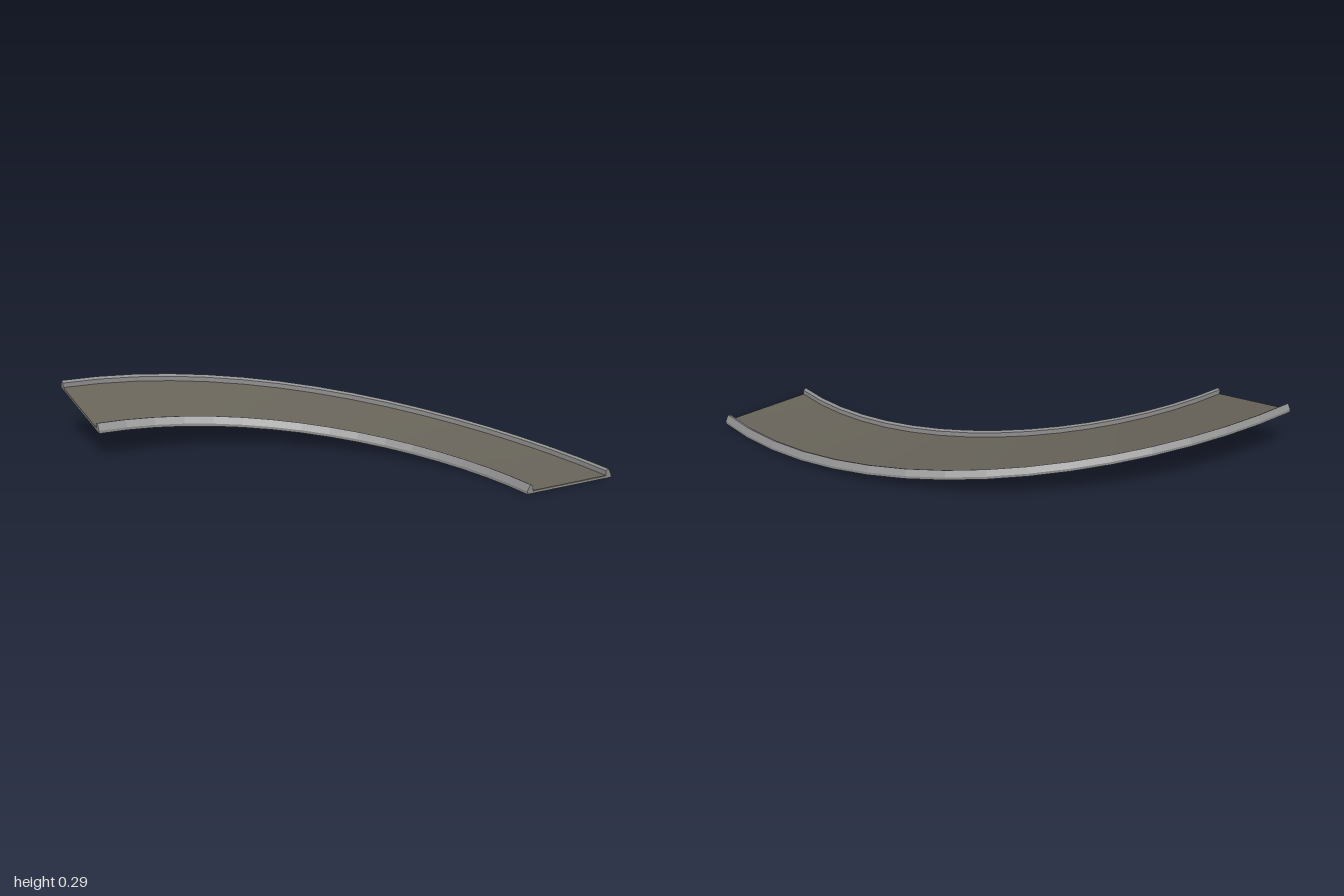
import * as THREE from 'three';

const INNER = 1.5, OUTER = 2, SEGMENTS = 16;

// Point on the ramp: r from the turning centre, y above the underside, t along the quarter turn
function rampPoint([r, y], t) {
  const a = t * Math.PI / 2;
  const bank = THREE.MathUtils.mapLinear(r, INNER, OUTER, 0.13, 0.25);
  return [-1 + r * Math.cos(a), y + bank * Math.sin(a) ** 2, 1 - r * Math.sin(a)];
}

// Sweep a convex counter-clockwise [r, y] profile round the turn and cap both ends
function sweep(profile) {
  const pos = [], n = profile.length;
  const tri = (a, b, c) => pos.push(...a, ...b, ...c);
  for (let s = 0; s < SEGMENTS; s++) {
    const t0 = s / SEGMENTS, t1 = (s + 1) / SEGMENTS;
    for (let i = 0; i < n; i++) {
      const p = profile[i], q = profile[(i + 1) % n];
      const a = rampPoint(p, t0), b = rampPoint(q, t0);
      const c = rampPoint(q, t1), d = rampPoint(p, t1);
      tri(a, d, c);
      tri(a, c, b);
    }
  }
  for (let i = 1; i < n - 1; i++) {
    const f = [profile[0], profile[i], profile[i + 1]];
    tri(...f.map(p => rampPoint(p, 0)));
    tri(...f.map(p => rampPoint(p, 1)).reverse());
  }
  const g = new THREE.BufferGeometry();
  g.setAttribute('position', new THREE.Float32BufferAttribute(pos, 3));
  g.computeVertexNormals();
  return g;
}

const band = (r0, r1, y0, y1) => [[r0, y0], [r1, y0], [r1, y1], [r0, y1]];

export function createModel() {
  const group = new THREE.Group();
  const concrete = new THREE.MeshStandardMaterial({ color: 0x8e8e8e });
  concrete.name = 'concrete grey';
  const asphalt = new THREE.MeshStandardMaterial({ color: 0x68645a });
  asphalt.name = 'road brown grey';

  const add = (name, profile, material) => {
    const mesh = new THREE.Mesh(sweep(profile), material);
    mesh.name = name;
    group.add(mesh);
  };

  // Road slab and its thin surface
  const kerbWidth = 0.033;
  add('roadSlab', band(INNER + kerbWidth, OUTER - kerbWidth, 0, 0.008), concrete);
  add('roadSurface', band(INNER + kerbWidth, OUTER - kerbWidth, 0.008, 0.014), asphalt);

  // Kerbs with a sloped outer face, mirrored on the two edges
  const kerb = [[0, 0], [kerbWidth, 0], [kerbWidth, 0.038], [0.017, 0.045], [0, 0.014]];
  add('innerKerb', kerb.map(([d, y]) => [INNER + d, y]), concrete);
  add('outerKerb', kerb.map(([d, y]) => [OUTER - d, y]).reverse(), concrete);
  return group;
}
